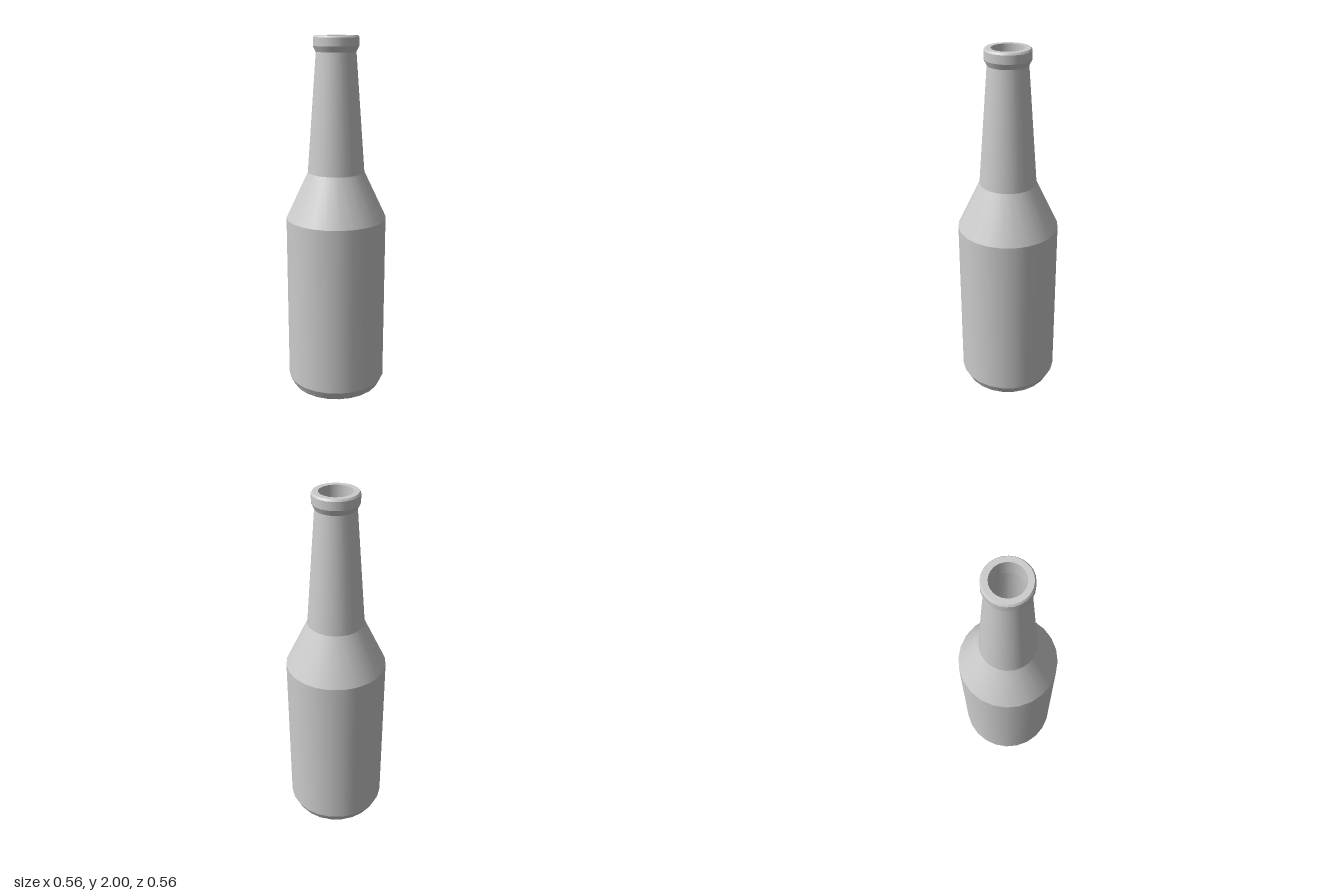
import * as THREE from 'three';

const SIDES = 24;
const material = new THREE.MeshStandardMaterial({ color: 0xcccccc });

// One turned part: each band has its own lathe, so bands are smooth
// around the axis while the edges between them stay sharp.
function turnedPart(name, profile) {
  const part = new THREE.Group();
  part.name = name;
  for (let i = 0; i < profile.length - 1; i++) {
    const band = profile.slice(i, i + 2).map(([r, y]) => new THREE.Vector2(r, y));
    const mesh = new THREE.Mesh(new THREE.LatheGeometry(band, SIDES), material);
    mesh.name = `${name}Band${i + 1}`;
    part.add(mesh);
  }
  return part;
}

export function createModel() {
  const bottle = new THREE.Group();
  bottle.name = 'bottle';
  bottle.add(
    // recessed underside
    turnedPart('base', [[0, 0.04], [0.19, 0.04], [0.255, 0]]),
    // chamfered foot and straight wall
    turnedPart('body', [[0.255, 0], [0.28, 0.05], [0.28, 1.01]]),
    turnedPart('shoulder', [[0.28, 1.01], [0.157, 1.27]]),
    turnedPart('neck', [[0.157, 1.27], [0.108, 1.915]]),
    // flared lip with a flat rim
    turnedPart('lip', [[0.108, 1.915], [0.123, 1.945], [0.123, 1.99], [0.116, 2], [0.087, 2]]),
    // hollow inside, from the mouth down to the floor
    turnedPart('interior', [[0.087, 2], [0.087, 1.9], [0.13, 1.26], [0.25, 1.0], [0.25, 0.08], [0, 0.08]])
  );
  return bottle;
}
